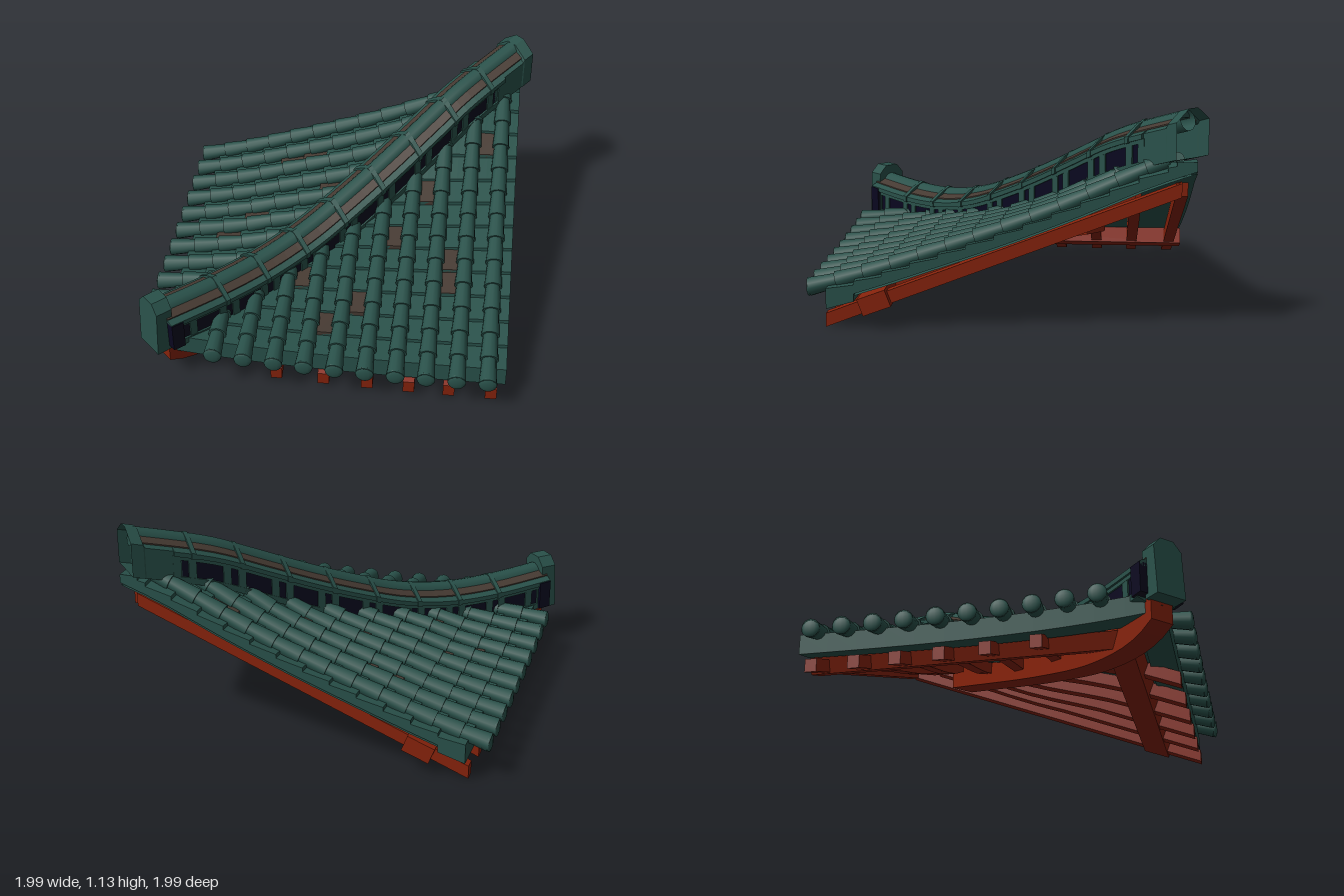
import * as THREE from 'three';
import { mergeGeometries } from 'three/addons/utils/BufferGeometryUtils.js';
import { ParametricGeometry } from 'three/addons/geometries/ParametricGeometry.js';

const mat = (name, color) => Object.assign(new THREE.MeshStandardMaterial({ color }), { name });
const V = (x, y, z) => new THREE.Vector3(x, y, z);

// plain non-indexed copy with only position and normal
function plain(g) {
  const p = g.index ? g.toNonIndexed() : g;
  p.deleteAttribute('uv');
  return p;
}

// skin over a row of equal rings, always facing outward
function loft(rings, capped = true) {
  const n = rings[0].length, tris = [];
  for (let i = 0; i + 1 < rings.length; i++) for (let j = 0; j < n; j++) {
    const k = (j + 1) % n, a = rings[i], b = rings[i + 1];
    tris.push([a[j], a[k], b[k]], [a[j], b[k], b[j]]);
  }
  const first = rings[0], last = rings[rings.length - 1];
  if (capped) for (let j = 1; j + 1 < n; j++) {
    tris.push([first[0], first[j + 1], first[j]], [last[0], last[j], last[j + 1]]);
  }
  const c = first[0];
  let vol = 0;
  for (const [p, q, r] of tris) vol += p.clone().sub(c).dot(q.clone().sub(c).cross(r.clone().sub(c)));
  const pts = tris.flatMap(([p, q, r]) => (vol < 0 ? [p, r, q] : [p, q, r]));
  const g = new THREE.BufferGeometry().setFromPoints(pts);
  g.computeVertexNormals();
  return g;
}

// mirror across the hip: (x, z) -> (-z, -x)
function mirrored(geo) {
  const g = geo.clone();
  g.applyMatrix4(new THREE.Matrix4().set(0, 0, -1, 0, 0, 1, 0, 0, -1, 0, 0, 0, 0, 0, 0, 1));
  for (const name of ['position', 'normal']) {
    const a = g.attributes[name].array;
    for (let i = 0; i < a.length; i += 9) for (let k = 3; k < 6; k++) {
      [a[i + k], a[i + k + 3]] = [a[i + k + 3], a[i + k]];
    }
  }
  return g;
}

// smooth height curve through [position, height] points
function heightCurve(points) {
  const line = new THREE.CatmullRomCurve3(points.map(([t, y]) => V(t, y, 0))).getPoints(120);
  return t => {
    let i = 1;
    while (i < line.length - 1 && line[i].x < t) i++;
    const a = line[i - 1], b = line[i];
    return a.y + (b.y - a.y) * (t - a.x) / (b.x - a.x);
  };
}

// roof slope: nearly straight at the open edge, hollow along the hip, rising to the corner
const edgeY = heightCurve([[-0.96, 0.92], [-0.72, 0.835], [-0.4, 0.695], [0, 0.535],
  [0.4, 0.392], [0.6, 0.322], [0.8, 0.258], [1, 0.205]]);
const hipY = heightCurve([[-0.96, 0.92], [-0.7, 0.845], [-0.54, 0.765], [-0.38, 0.665], [-0.23, 0.565],
  [-0.07, 0.482], [0.09, 0.415], [0.25, 0.362], [0.4, 0.318], [0.57, 0.262], [0.8, 0.225], [1, 0.205]]);
const lift = (x, z) => 0.085 * ((0.94 - x) / 1.82) ** 3 * Math.min(1, Math.max(0, (z + 0.94) / 1.82));
const tileY = (x, z) => {
  const nearHip = Math.min(1, (0.94 - x) / Math.max(0.01, 0.94 + z));
  return edgeY(z) + (hipY(z) - edgeY(z)) * nearHip + lift(x, z);
};

// height lines along the diagonal
const ridgeY = heightCurve([[-0.95, 0.5], [-0.6, 0.475], [-0.4, 0.488], [-0.2, 0.54], [0, 0.637],
  [0.2, 0.752], [0.4, 0.88], [0.6, 1.007], [0.92, 1.145]]);
const hipRafterY = heightCurve([[-0.88, 0.215], [-0.8, 0.165], [-0.7, 0.14], [-0.5, 0.155], [-0.2, 0.245], [0.46, 0.5]]);

// parts with a section (u across, v up) running along the diagonal
const S = Math.SQRT1_2;
const section = (profile, t, line = ridgeY) => profile.map(([u, v]) => V(t + u * S, line(t) + v, -t + u * S));
function hipPart(profile, t0, t1, n = 1, line = ridgeY) {
  const rings = [];
  for (let i = 0; i <= n; i++) rings.push(section(profile, t0 + (t1 - t0) * i / n, line));
  return loft(rings);
}
const rect = (w, v0, v1) => [[-w, v0], [w, v0], [w, v1], [-w, v1]];

export function createModel() {
  const teal = mat('glazed teal', 0x29514a);
  teal.side = THREE.DoubleSide;
  const brown = mat('weathered brown', 0x463a32);
  const navy = mat('dark navy', 0x09071f);
  const red = mat('red timber', 0x86220b);
  const model = new THREE.Group();
  const add = (name, material, geos) => {
    const m = new THREE.Mesh(mergeGeometries(geos), material);
    m.name = name;
    model.add(m);
  };
  const addBoth = (name, material, geos) => {
    add(name + 'Front', material, geos);
    add(name + 'Side', material, geos.map(mirrored));
  };

  // flat pan tiles in overlapping rows
  const STEP = 0.14;
  function pan(row, x0, x1, n, top, bottom) {
    const z0 = 0.88 - row * STEP, z1 = Math.max(z0 - STEP, -0.94), rings = [];
    for (let i = 0; i <= n; i++) {
      const x = x0 + (x1 - x0) * i / n, a = tileY(x, z0), b = tileY(x, z1);
      rings.push([V(x, a + bottom, z0), V(x, a + top - 0.01, z0), V(x, b + top - 0.03, z1), V(x, b + bottom, z1)]);
    }
    return loft(rings);
  }
  const pans = [];
  for (let r = 0; r < 13; r++) {
    pans.push(pan(r, -0.88 + (r + 0.3) * STEP, 0.94, 12, 0, r ? -0.075 : -0.115));
  }
  addBoth('panTiles', teal, pans);

  // a few weathered tiles
  const worn = [[1, -0.02], [2, 0.13], [3, -0.18], [4, 0.61], [5, 0.29], [7, 0.45], [3, 0.61], [9, 0.77]];
  addBoth('weatheredTiles', brown, worn.map(([r, x]) => pan(r, x - 0.045, x + 0.045, 1, 0.004, -0.03)));

  // round cover tiles, tapered and overlapping
  const rolls = [];
  for (let i = 0; i < 10; i++) {
    const x = -0.575 + i * 0.158, end = Math.max(-x + 0.04, -0.93);
    const at = z => V(x, tileY(x, z), z);
    for (let z = 0.98; z > end + 0.02; z -= STEP) {
      const p = at(z), q = at(Math.max(z - STEP - 0.01, end));
      const g = new THREE.CylinderGeometry(0.037, 0.048, p.distanceTo(q), 12);
      g.applyQuaternion(new THREE.Quaternion().setFromUnitVectors(V(0, 1, 0), q.clone().sub(p).normalize()));
      const mid = p.add(q).multiplyScalar(0.5);
      rolls.push(plain(g.translate(mid.x, mid.y, mid.z)));
    }
    const e = at(0.98);
    rolls.push(plain(new THREE.SphereGeometry(0.048, 12, 8).scale(1, 1, 0.3).translate(e.x, e.y, e.z)));
  }
  addBoth('coverTiles', teal, rolls);

  // deck under the tiles
  const deck = new ParametricGeometry((u, v, out) => {
    const z = 0.87 - 1.81 * v, x = -z + (0.94 + z) * u;
    out.set(x, tileY(x, z) - 0.085, z);
  }, 10, 14);
  addBoth('deck', teal, [plain(deck)]);

  // rafters from eave to hip, and the eave beam
  const rafters = [0.87, 0.65, 0.44, 0.22, -0.01, -0.26].map(x => {
    const zEnd = Math.max(-x, -0.935), rings = [];
    for (let i = 0; i <= 10; i++) {
      const z = 0.89 + (zEnd - 0.89) * i / 10;
      const y = Math.min(0.052 + lift(x, 0.9) + (0.89 - z) * 0.39, tileY(x, z) - 0.115);
      rings.push([[-0.03, -0.035], [0.03, -0.035], [0.03, 0.035], [-0.03, 0.035]].map(([a, b]) => V(x + a, y + b, z)));
    }
    return loft(rings);
  });
  addBoth('rafters', red, rafters);
  const beam = new THREE.BoxGeometry(1.6, 0.09, 0.15).rotateX(0.36).translate(0.14, 0.155, 0.64);
  addBoth('eaveBeam', red, [plain(beam)]);

  // hip rafter with upturned tip
  add('hipRafter', red, [hipPart(rect(0.065, -0.075, 0.065), -0.865, 0.45, 24, hipRafterY)]);

  // hip ridge: dark core framed by rails and split posts
  add('ridgeCore', navy, [hipPart(rect(0.105, -0.22, -0.08), -0.86, 0.73, 24)]);
  const sill = [[-0.06, -0.26], [0.06, -0.26], [0.115, -0.245], [0.115, -0.21], [-0.115, -0.21], [-0.115, -0.245]];
  const frame = [
    hipPart(sill, -0.84, 0.74, 24),
    hipPart(rect(0.114, -0.12, -0.09), -0.84, 0.74, 24),
    hipPart(rect(0.105, -0.25, -0.08), 0.715, 0.76, 1),
  ];
  for (let i = 0; i < 9; i++) for (const side of [-1, 1]) {
    const t = -0.8 + i * 0.19 + side * 0.029;
    frame.push(hipPart(rect(0.113, -0.22, -0.1), t - 0.015, t + 0.015));
  }
  add('ridgeFrame', teal, frame);

  // moulding, saddles and stripes along the top
  const ledge = (w, low) => [[-w, low], [w, low], [w, -0.075], [0.04, -0.035], [-0.04, -0.035], [-w, -0.075]];
  add('ridgeMoulding', teal, [hipPart(ledge(0.125, -0.1), -0.87, 0.76, 32)]);
  const saddle = [[-0.13, -0.104], [0.13, -0.104], [0.13, -0.07], [0.055, -0.018],
    [0, 0.008], [-0.055, -0.018], [-0.13, -0.07]];
  const saddles = [];
  for (let i = 0; i < 8; i++) saddles.push(hipPart(saddle, -0.63 + i * 0.187, -0.612 + i * 0.187));
  add('ridgeSaddles', teal, saddles);
  const stripe = s => [[s * 0.048, -0.04], [s * 0.092, -0.06], [s * 0.092, -0.053], [s * 0.048, -0.033]];
  add('ridgeStripes', brown, [1, -1].map(s => hipPart(stripe(s), -0.87, 0.87, 32)));

  // rounded ridge cap
  const path = [];
  for (let i = 0; i <= 12; i++) {
    const t = -0.88 + i * 1.77 / 12;
    path.push(V(t, ridgeY(t) - 0.052, -t));
  }
  add('ridgeCap', teal, [plain(new THREE.TubeGeometry(new THREE.CatmullRomCurve3(path), 48, 0.052, 12))]);

  // hollow gabled end at the top
  const gable = [[-0.115, -0.24], [0.115, -0.24], [0.115, -0.06], [0.03, 0], [-0.03, 0], [-0.115, -0.06]];
  const neck = ledge(0.112, -0.24);
  add('upperEnd', teal, [loft([section(neck, 0.74), section(neck, 0.865), section(gable, 0.87), section(gable, 0.915)], false)]);

  // leaning end block at the corner
  const endRing = t => [[-0.085, 0.23], [0.085, 0.23], [0.085, 0.49], [0.04, 0.54], [-0.04, 0.54], [-0.085, 0.49]]
    .map(([u, y]) => V(t + u * S - (0.4 - y) * 0.04, y, -t + u * S + (0.4 - y) * 0.04));
  add('cornerEnd', teal, [loft([endRing(-0.914), endRing(-0.85)])]);
  add('cornerCollar', navy, [hipPart(rect(0.13, -0.24, -0.08), -0.87, -0.82)]);
  return model;
}
